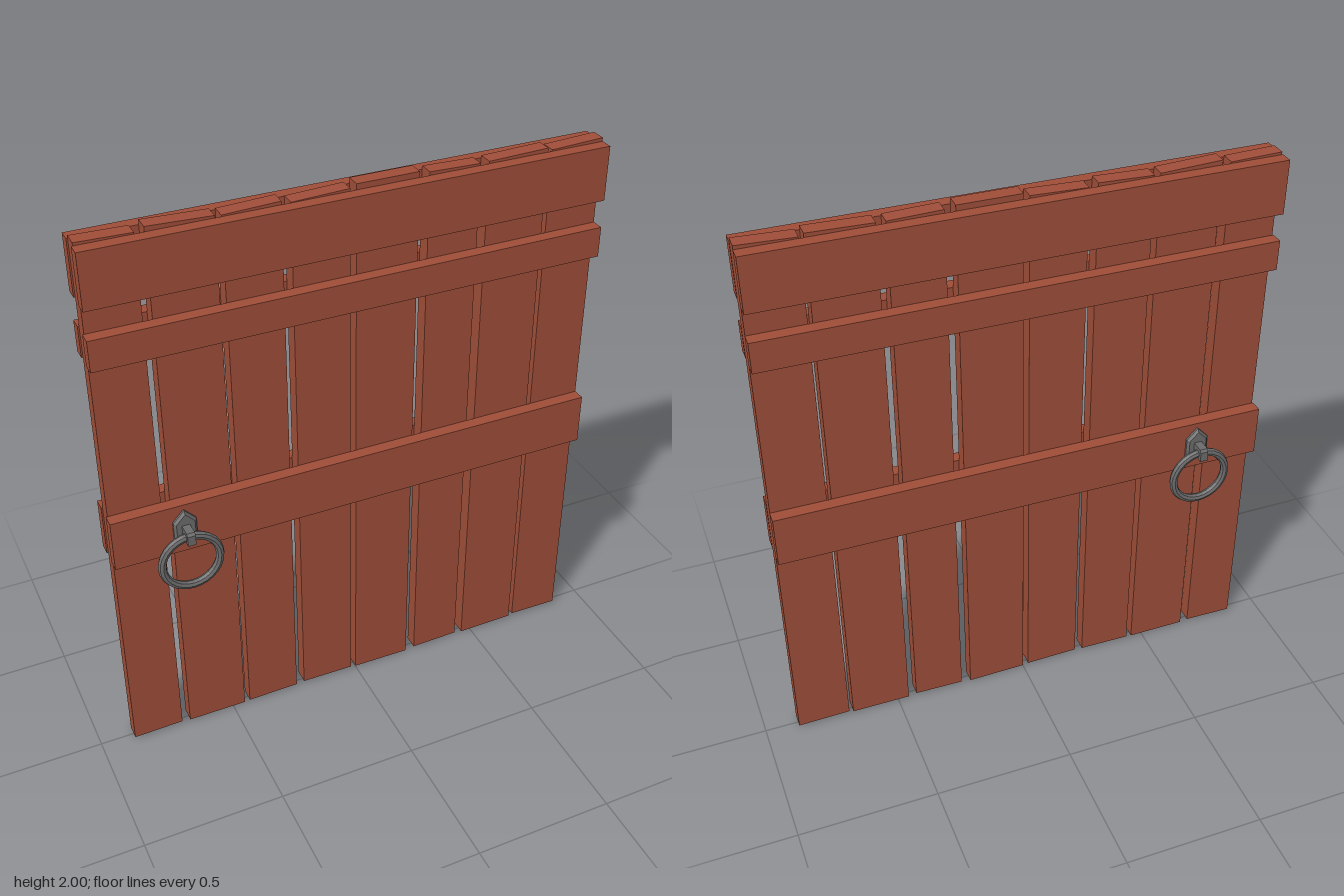
import * as THREE from 'three';

export function createModel() {
  const gate = new THREE.Group();
  gate.name = 'gate';
  const wood = new THREE.MeshStandardMaterial({ color: 0xa04e39, flatShading: true });
  const metal = new THREE.MeshStandardMaterial({ color: 0x6c6c6c, flatShading: true });

  const add = (parent, name, geometry, material, x = 0, y = 0, z = 0) => {
    const mesh = new THREE.Mesh(geometry, material);
    mesh.name = name;
    mesh.position.set(x, y, z);
    parent.add(mesh);
    return mesh;
  };
  const slab = (points, depth, bevel = 0) =>
    new THREE.ExtrudeGeometry(new THREE.Shape(points.map(([x, y]) => new THREE.Vector2(x, y))), {
      depth, bevelEnabled: bevel > 0, bevelSize: bevel, bevelThickness: bevel, bevelOffset: -bevel, bevelSegments: 1,
    });

  // Upright planks with slightly uneven ends: left, right, bottom L/R, top L/R
  const planks = [
    [-0.88, -0.70, 0.006, 0.01, 1.99, 1.985],
    [-0.67, -0.455, 0.005, 0.004, 1.997, 1.988],
    [-0.435, -0.245, 0.006, 0.009, 1.985, 1.992],
    [-0.215, -0.02, 0.012, 0.008, 1.982, 1.989],
    [0, 0.215, 0.004, 0, 2, 2],
    [0.25, 0.43, 0.006, 0.01, 1.992, 1.987],
    [0.46, 0.675, 0.004, 0.005, 1.988, 1.994],
    [0.69, 0.88, 0.012, 0.008, 1.985, 1.993],
  ];
  planks.forEach(([l, r, bl, br, tl, tr], i) =>
    add(gate, `plank${i + 1}`, slab([[l, bl], [r, br], [r, tr], [l, tl]], 0.052), wood, 0, 0, -0.026));

  // Cross rails and a ring pull on both faces
  for (const side of [1, -1]) {
    const face = side > 0 ? 'front' : 'back';
    for (const [name, low, high] of [['TopRail', 1.79, 1.98], ['UpperRail', 1.585, 1.693], ['MiddleRail', 0.83, 1.017]])
      add(gate, face + name, new THREE.BoxGeometry(1.766, high - low, 0.044), wood, -0.002, (low + high) / 2, side * 0.048);

    const handle = new THREE.Group();
    handle.name = face + 'Handle';
    handle.position.set(-0.64, 0, side * 0.07);
    if (side < 0) handle.rotation.y = Math.PI;
    gate.add(handle);

    // Pointed back plate
    add(handle, 'backPlate', slab([[-0.04, 0.873], [0.04, 0.873], [0.04, 0.958], [0, 1], [-0.04, 0.958]], 0.008, 0.008),
      metal, 0, 0, 0);
    // Hook that carries the ring
    add(handle, 'hook', slab([[0, 0.915], [0.052, 0.915], [0.052, 0.9], [0.07, 0.9], [0.07, 0.937], [0.062, 0.946], [0, 0.946]], 0.028),
      metal, 0.014, 0, 0).rotation.y = -Math.PI / 2;
    // Hanging ring
    add(handle, 'ring', new THREE.TorusGeometry(0.101, 0.0145, 8, 28), metal, 0, 0.82, 0.045);
  }
  return gate;
}
